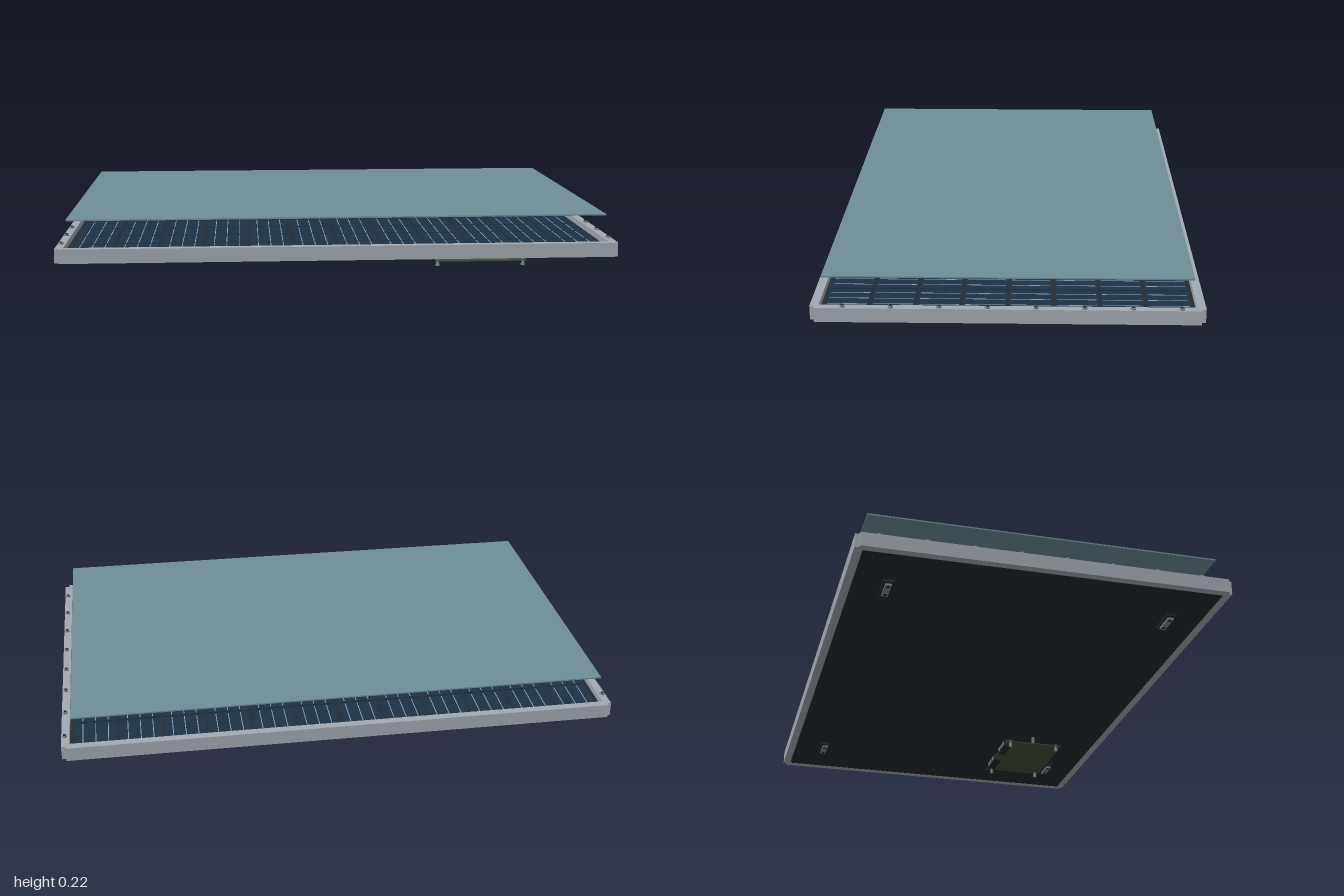
import * as THREE from 'three';

export function createModel() {
  const root = new THREE.Group();
  const mat = (name, color, side = THREE.FrontSide) => {
    const m = new THREE.MeshStandardMaterial({ color, side });
    m.name = name;
    return m;
  };
  const aluminium = mat('aluminium', 0xa3a9b1);
  const glass = mat('glass', 0x6f8e97);
  const backing = mat('dark backing', 0x252c32);
  const cellBlue = mat('cell blue', 0x1e3246);
  const silver = mat('silver trace', 0x8fa3b3);
  const plastic = mat('black plastic', 0x22262a);
  const steel = mat('steel', 0x7f868c);
  const boardGreen = mat('board green', 0x434f39);

  const add = (parent, name, geometry, material, x, y, z) => {
    const mesh = new THREE.Mesh(geometry, material);
    mesh.name = name;
    mesh.position.set(x, y, z);
    parent.add(mesh);
    return mesh;
  };
  // Box given by its centre in x and z and its bottom and top heights
  const box = (parent, name, material, x, z, w, d, y0, y1) =>
    add(parent, name, new THREE.BoxGeometry(w, y1 - y0, d), material, x, (y0 + y1) / 2, z);
  const cyl = (parent, name, material, x, z, r, y0, y1, sides = 16) =>
    add(parent, name, new THREE.CylinderGeometry(r, r, y1 - y0, sides), material, x, (y0 + y1) / 2, z);
  const group = (name) => {
    const g = new THREE.Group();
    g.name = name;
    root.add(g);
    return g;
  };

  // Raised cover sheet
  box(root, 'coverGlass', glass, 0, 0, 1.92, 1.24, 0.214, 0.219);

  // Frame rails with stepped corners
  const frame = group('frame');
  for (const s of [-1, 1]) {
    box(frame, 'longRail', aluminium, 0, s * 0.645, 1.97, 0.03, 0.07, 0.121);
    box(frame, 'sideRail', aluminium, s * 0.9855, 0, 0.029, 1.29, 0.069, 0.12);
    // Screws along the side rails
    for (let i = 0; i < 8; i++) {
      const z = 0.55 - i * 0.1612;
      cyl(frame, 'railScrew', steel, s * 0.988, z, 0.009, 0.12, 0.126);
      cyl(frame, 'screwHead', plastic, s * 0.988, z, 0.005, 0.126, 0.129, 6);
    }
  }

  // Backing and the grid of cells with their traces
  box(root, 'backing', backing, 0, 0, 1.945, 1.262, 0.0695, 0.098);
  const cells = group('cells');
  const cols = 12, rows = 8, px = 1.92 / cols, pz = 1.24 / rows;
  const cellGeo = new THREE.BoxGeometry(px - 0.01, 0.004, pz - 0.01);
  const traceGeo = new THREE.BoxGeometry(0.003, 0.001, pz - 0.02);
  for (let i = 0; i < cols; i++) {
    for (let j = 0; j < rows; j++) {
      const x = (i - (cols - 1) / 2) * px, z = (j - (rows - 1) / 2) * pz;
      add(cells, 'cell', cellGeo, cellBlue, x, 0.1, z);
      for (const t of [-0.045, 0, 0.045]) add(cells, 'trace', traceGeo, silver, x + t, 0.1024, z);
    }
  }

  // Four mounting feet under the backing
  for (const sx of [-1, 1]) {
    for (const sz of [-1, 1]) {
      const foot = group('mountingFoot');
      foot.position.set(sx * 0.747, 0, sz * 0.51);
      box(foot, 'footPad', plastic, 0, 0, 0.11, 0.038, 0.06, 0.0695);
      box(foot, 'footPlate', steel, 0, 0, 0.085, 0.022, 0.054, 0.06);
      for (const s of [-1, 1]) cyl(foot, 'footBolt', plastic, s * 0.028, 0, 0.007, 0.053, 0.055);
    }
  }

  // Control board with its components
  const board = group('controlBoard');
  box(board, 'boardPlate', boardGreen, 0.54, 0.34, 0.34, 0.24, 0.019, 0.023);
  for (const x of [0.38, 0.7]) {
    for (const z of [0.24, 0.442]) {
      cyl(board, 'boardScrew', steel, x, z, 0.006, 0.003, 0.028);
      cyl(board, 'boardScrewHead', steel, x, z, 0.008, 0, 0.005);
    }
  }
  // Terminal blocks on the rear edge
  for (const x of [0.453, 0.628]) {
    box(board, 'terminalBlock', plastic, x, 0.234, 0.108, 0.03, 0.013, 0.042);
    for (let i = -1; i <= 1; i++) {
      box(board, 'terminalOpening', steel, x + i * 0.033, 0.2185, 0.018, 0.003, 0.019, 0.034);
      cyl(board, 'terminalScrew', steel, x + i * 0.033, 0.236, 0.009, 0.041, 0.045);
    }
  }
  // Coil, chip, status post and small parts
  cyl(board, 'coilCore', steel, 0.54, 0.385, 0.014, 0.023, 0.043);
  cyl(board, 'coil', plastic, 0.54, 0.385, 0.023, 0.031, 0.042);
  box(board, 'chip', plastic, 0.54, 0.305, 0.048, 0.046, 0.026, 0.034);
  for (const s of [-1, 1]) {
    for (let i = 0; i < 5; i++) {
      box(board, 'chipPin', steel, 0.54 + s * 0.027, 0.289 + i * 0.008, 0.008, 0.003, 0.022, 0.029);
    }
  }
  box(board, 'statusPost', steel, 0.385, 0.341, 0.012, 0.01, 0.02, 0.054);

  return root;
}
